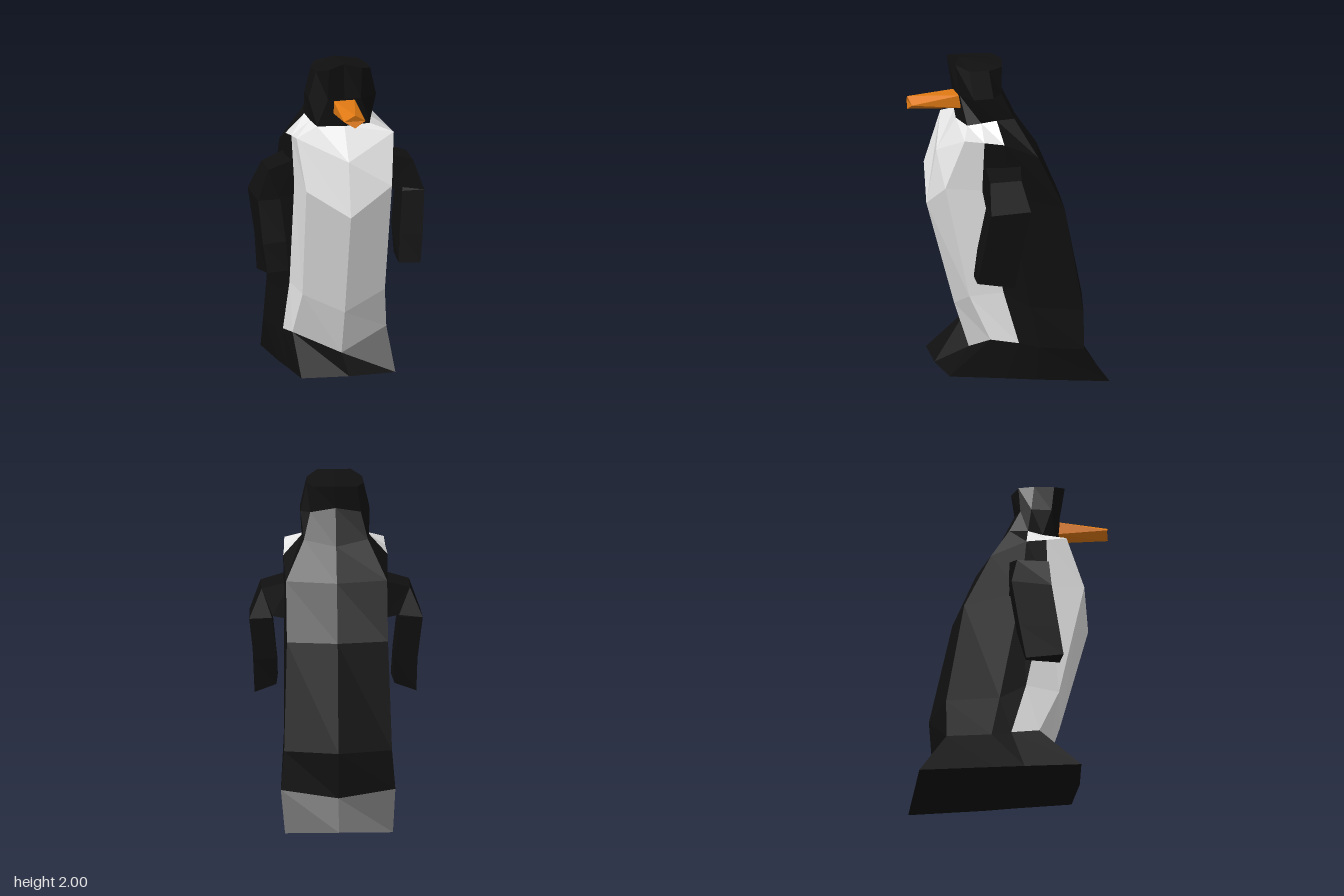
import * as THREE from 'three';

const material = (name, color) => {
  const m = new THREE.MeshStandardMaterial({ color, flatShading: true });
  m.name = name;
  return m;
};

// Body cross-sections from head to base, one half each:
// front centre, front side, belly border, flank, back corner, back centre
const BODY = [
  [[0, 2.0, 0.26], [0.1, 1.985, 0.31], [0.165, 1.96, 0.24], [0.17, 1.955, 0.12], [0.13, 1.96, 0.03], [0, 1.97, 0]],
  [[0, 1.79, 0.28], [0.1, 1.79, 0.28], [0.205, 1.79, 0.22], [0.205, 1.79, 0.1], [0.15, 1.8, 0.04], [0, 1.83, 0.02]],
  [[0, 1.62, 0.28], [0.16, 1.62, 0.25], [0.185, 1.635, 0.17], [0.2, 1.65, 0.08], [0.19, 1.65, -0.03], [0, 1.62, -0.08]],
  [[0, 1.43, 0.4], [0.295, 1.57, 0.3], [0.3, 1.55, 0.18], [0.31, 1.53, 0.06], [0.3, 1.43, -0.15], [0, 1.43, -0.21]],
  [[0, 1.1, 0.46], [0.26, 1.27, 0.41], [0.285, 1.25, 0.19], [0.305, 1.2, 0.03], [0.3, 1.1, -0.31], [0, 1.1, -0.35]],
  [[0, 0.46, 0.29], [0.25, 0.58, 0.26], [0.285, 0.6, 0.06], [0.31, 0.5, -0.1], [0.32, 0.46, -0.42], [0, 0.46, -0.49]],
  [[0, 0.18, 0.2], [0.285, 0.31, 0.14], [0.305, 0.28, -0.03], [0.325, 0.25, -0.15], [0.34, 0.22, -0.42], [0, 0.18, -0.47]],
  [[0, 0.1, 0.41], [0.285, 0.1, 0.39], [0.3, 0.065, 0.05], [0.31, 0.045, -0.13], [0.32, 0, -0.58], [0, 0, -0.58]],
];

// Wing cross-sections from shoulder to tip:
// outer front, outer back, inner back, inner front
const WING = [
  [[0.27, 1.4, 0.17], [0.27, 1.4, -0.05], [0.27, 1.165, -0.05], [0.27, 1.165, 0.17]],
  [[0.44, 1.345, 0.18], [0.44, 1.345, -0.01], [0.375, 1.18, -0.03], [0.375, 1.18, 0.18]],
  [[0.505, 1.16, 0.19], [0.515, 1.17, -0.05], [0.38, 1.175, -0.05], [0.37, 1.16, 0.19]],
  [[0.485, 0.9, 0.235], [0.485, 0.9, 0], [0.345, 0.91, 0], [0.345, 0.91, 0.235]],
  [[0.465, 0.73, 0.265], [0.48, 0.69, 0.04], [0.35, 0.735, 0.05], [0.335, 0.735, 0.255]],
];

// Turns a list of polygons into flat-shaded faces
function facesMesh(name, polygons, mat) {
  const positions = [];
  for (const p of polygons)
    for (let i = 1; i < p.length - 1; i++) positions.push(...p[0], ...p[i], ...p[i + 1]);
  const geometry = new THREE.BufferGeometry();
  geometry.setAttribute('position', new THREE.Float32BufferAttribute(positions, 3));
  geometry.computeVertexNormals();
  const mesh = new THREE.Mesh(geometry, mat);
  mesh.name = name;
  return mesh;
}

const mirror = (polygons) =>
  polygons.map((p) => p.map(([x, y, z]) => [-x, y, z]).reverse());

export function createModel() {
  const black = material('black plumage', 0x101010);
  const white = material('white plumage', 0xf2f2f2);
  const orange = material('orange beak', 0xe07a14);
  const model = new THREE.Group();
  model.name = 'penguin';

  // Body panels: white belly and collar, the rest black
  const dark = [[...BODY[0]], [...BODY.at(-1)].reverse()];
  const light = [];
  for (let r = 0; r < BODY.length - 1; r++) {
    for (let c = 0; c < 5; c++) {
      const quad = [BODY[r][c], BODY[r + 1][c], BODY[r + 1][c + 1], BODY[r][c + 1]];
      const isWhite = (r === 2 && c < 3) || (r > 2 && r < 6 && c < 2);
      (isWhite ? light : dark).push(quad);
    }
  }
  model.add(facesMesh('body', [...dark, ...mirror(dark)], black));
  model.add(facesMesh('belly', [...light, ...mirror(light)], white));

  // Wings
  const wing = [[...WING.at(-1)].reverse()];
  for (let r = 0; r < WING.length - 1; r++) {
    for (let c = 0; c < 4; c++) {
      const n = (c + 1) % 4;
      wing.push([WING[r][c], WING[r + 1][c], WING[r + 1][n], WING[r][n]]);
    }
  }
  model.add(facesMesh('leftWing', wing, black));
  model.add(facesMesh('rightWing', mirror(wing), black));

  // Beak: rectangular root running into a diamond tip
  const root = [[0.065, 1.78, 0.26], [-0.065, 1.78, 0.26], [-0.065, 1.7, 0.26], [0.065, 1.7, 0.26]];
  const tip = [[0.065, 1.74, 0.565], [0, 1.78, 0.577], [-0.065, 1.74, 0.565], [0, 1.7, 0.577]];
  const beak = [tip];
  for (let i = 0; i < 4; i++) {
    const n = (i + 1) % 4;
    beak.push([tip[n], tip[i], root[i]], [root[i], root[n], tip[n]]);
  }
  model.add(facesMesh('beak', beak, orange));

  return model;
}
